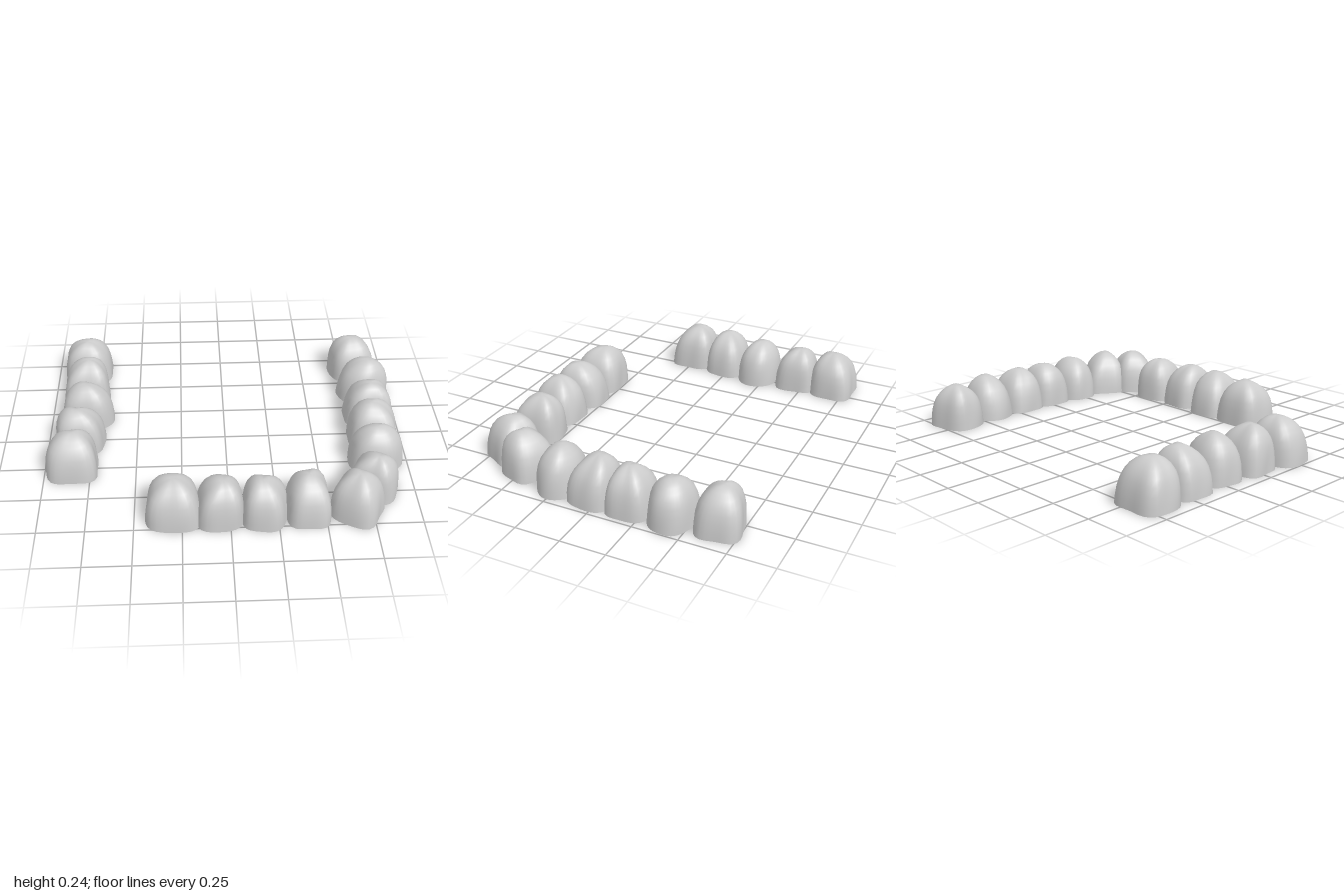
import * as THREE from 'three';

// Height and relative width of each ring, from the ground up to the crown
const RINGS = [[0, 1], [0.04, 0.985], [0.09, 0.95], [0.135, 0.88], [0.17, 0.78], [0.2, 0.63], [0.222, 0.45], [0.236, 0.27], [0.24, 0.1]];
const SIDES = 32;

// x, z, turn in degrees, length along the row, depth across it, squareness
const STONES = [
  [-0.815, -0.68, -90, 0.26, 0.29, 3.6],
  [-0.81, -0.45, -87, 0.24, 0.27, 4.2],
  [-0.79, -0.21, -96, 0.24, 0.30, 2.7],
  [-0.82, 0.015, -90, 0.24, 0.28, 3.8],
  [-0.85, 0.25, -87, 0.26, 0.29, 3.6],
  [-0.295, 0.64, 0, 0.29, 0.28, 3.8],
  [-0.055, 0.64, 3, 0.25, 0.29, 3.4],
  [0.18, 0.65, -6, 0.24, 0.28, 3.6],
  [0.405, 0.64, 3, 0.24, 0.28, 3.8],
  [0.665, 0.645, 60, 0.26, 0.265, 3.6],
  [0.775, 0.475, 63, 0.245, 0.265, 3.8],
  [0.82, 0.245, 87, 0.25, 0.31, 2.2],
  [0.84, 0.035, 86, 0.25, 0.285, 3.4],
  [0.84, -0.18, 92, 0.24, 0.28, 3.9],
  [0.842, -0.40, 93, 0.255, 0.31, 2.2],
  [0.81, -0.635, 102, 0.25, 0.275, 3.5],
];

// Rounded block with a flat base, a tapering body and a slightly off-centre crown
function stoneGeometry(length, depth, power, seed) {
  const positions = [], index = [];
  const leanX = 0.018 * Math.sin(seed * 2.1), leanZ = 0.018 * Math.cos(seed * 1.7);
  const ring = (y, scale) => {
    const lift = (y / 0.24) ** 2;
    for (let i = 0; i < SIDES; i++) {
      const a = (i / SIDES) * Math.PI * 2, c = Math.cos(a), s = Math.sin(a);
      const r = (Math.abs(c) ** power + Math.abs(s) ** power) ** (-1 / power);
      // Shallow dents that differ from stone to stone
      const dent = 1 + 0.025 * Math.sin(3 * a + seed * 1.9) + 0.02 * Math.sin(5 * a + seed + y * 14);
      const k = r * scale * dent * 0.98;
      const bump = 0.008 * lift * Math.sin(2 * a + seed) * scale;
      positions.push(c * k * length / 2 + leanX * lift, y + bump, s * k * depth / 2 + leanZ * lift);
    }
  };
  RINGS.forEach(([y, scale]) => ring(y, scale));
  for (let j = 0; j < RINGS.length - 1; j++) {
    for (let i = 0; i < SIDES; i++) {
      const a = j * SIDES + i, b = j * SIDES + (i + 1) % SIDES;
      index.push(a, a + SIDES, b, b, a + SIDES, b + SIDES);
    }
  }
  // Crown cap shares the last ring; the base has its own ring for a sharp edge
  const last = (RINGS.length - 1) * SIDES;
  const top = positions.length / 3;
  positions.push(leanX, 0.24, leanZ);
  const base = top + 1;
  ring(0, 1);
  const bottom = positions.length / 3;
  positions.push(0, 0, 0);
  for (let i = 0; i < SIDES; i++) {
    const n = (i + 1) % SIDES;
    index.push(last + i, top, last + n, base + i, base + n, bottom);
  }
  const geometry = new THREE.BufferGeometry();
  geometry.setAttribute('position', new THREE.Float32BufferAttribute(positions, 3));
  geometry.setIndex(index);
  geometry.computeVertexNormals();
  return geometry;
}

export function createModel() {
  const model = new THREE.Group();
  model.name = 'stoneBorder';
  const material = new THREE.MeshStandardMaterial({ color: 0xcccccc });
  STONES.forEach(([x, z, turn, length, depth, power], i) => {
    const stone = new THREE.Mesh(stoneGeometry(length, depth, power, i + 1), material);
    stone.name = `stone${i + 1}`;
    stone.position.set(x, 0, z);
    stone.rotation.y = THREE.MathUtils.degToRad(turn);
    model.add(stone);
  });
  return model;
}
